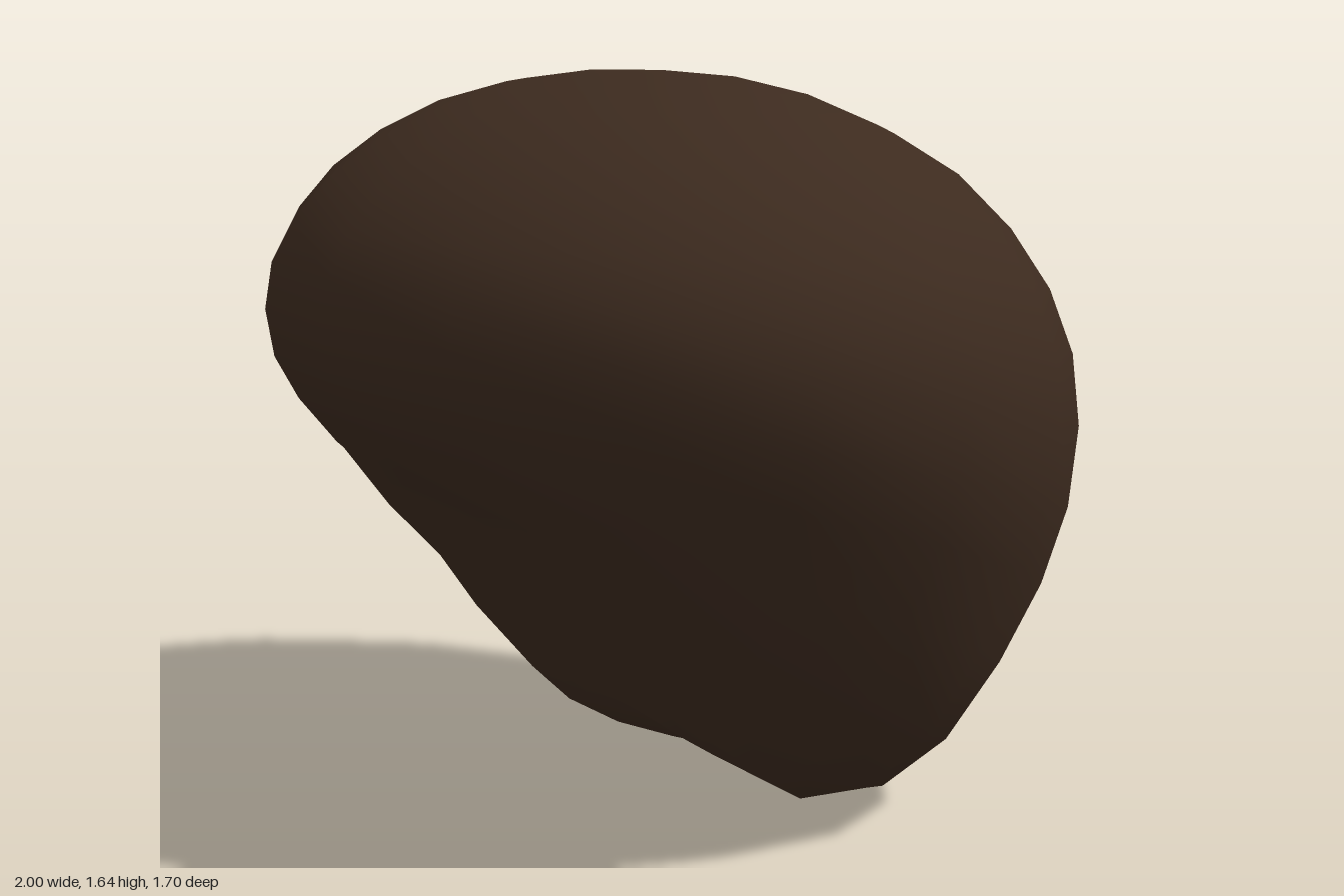
import * as THREE from 'three';
import { mergeVertices } from 'three/addons/utils/BufferGeometryUtils.js';

const SEG = 16;

// Heights of each ring from crown to underside: [front, side, back]
const RINGS = [
  [1.665, 1.665, 1.665], [1.66, 1.66, 1.64], [1.63, 1.635, 1.58], [1.585, 1.585, 1.5],
  [1.52, 1.51, 1.41], [1.44, 1.415, 1.285], [1.35, 1.305, 1.15], [1.26, 1.19, 1.0],
  [1.16, 1.06, 0.83], [1.06, 0.91, 0.64], [0.97, 0.77, 0.45], [0.88, 0.59, 0.28],
  [0.8, 0.38, 0.13], [0.69, 0.23, 0.035], [0.5, 0.14, 0.02], [0.28, 0.15, 0.085],
  [0.17, 0.17, 0.17],
];

export function createModel() {
  const group = new THREE.Group();

  // Ellipsoid whose rings tilt and bend: raised at the front, hanging low at the back
  let geo = new THREE.SphereGeometry(1, SEG, SEG);
  const pos = geo.attributes.position;
  for (let i = 0; i < pos.count; i++) {
    const ring = Math.floor(i / (SEG + 1));
    const s = Math.sin(((i % (SEG + 1)) / SEG) * Math.PI * 2); // 1 front, -1 back
    const [front, side, back] = RINGS[ring];
    const y = side + s * (front - back) / 2 + s * s * ((front + back) / 2 - side);
    pos.setXYZ(i, pos.getX(i), y, pos.getZ(i) * 0.85);
  }

  // Weld the seam so the shading stays smooth all round
  geo.deleteAttribute('uv');
  geo.deleteAttribute('normal');
  geo = mergeVertices(geo, 1e-4);
  geo.computeVertexNormals();

  const cap = new THREE.Mesh(geo, new THREE.MeshStandardMaterial({ color: 0x3d2b1f }));
  cap.name = 'hairCap';
  group.add(cap);
  return group;
}
